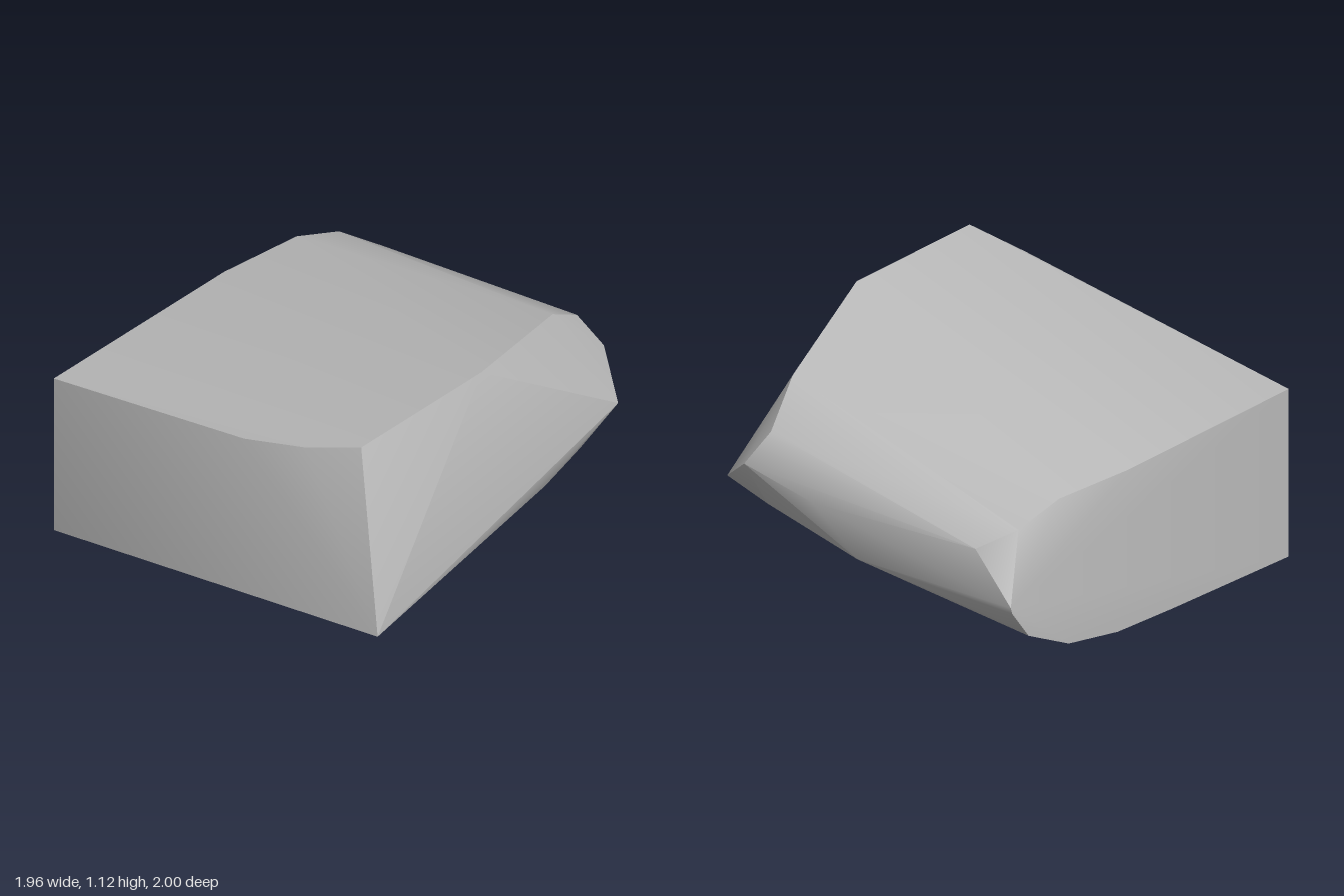
import * as THREE from 'three';
import { ConvexGeometry } from 'three/addons/geometries/ConvexGeometry.js';
import { toCreasedNormals } from 'three/addons/utils/BufferGeometryUtils.js';

// Corner points of the wedge-shaped rock, grouped by region: [x, y, z]
const frontCorners = [
  [-0.98, 0, 0.88], [-0.98, 0.78, 0.88], [0.98, 0.41, 1.0], [0.67, 1.12, 0.76],
  [0.1, 0.96, 0.87], [0.42, 1.04, 0.83],
];
const rightRim = [
  [0.67, 1.12, 0], [0.465, 0.98, -0.68], [0.39, 0.82, -0.92], [0.48, 0.67, -0.99],
  [0.67, 0.52, -0.87], [0.65, 0.39, -0.65], [0.7, 0.36, -0.37],
];
const leftRim = [
  [-0.98, 0.78, -0.2], [-0.935, 0.775, -0.61], [-0.9, 0.7, -0.84], [-0.98, 0.41, -0.99],
  [-0.98, 0.38, -0.98], [-0.98, 0.24, -0.87], [-0.98, 0.11, -0.6],
  [-0.98, 0.05, -0.27], [-0.98, 0.03, 0.1],
];
const back = [
  [-0.77, 0.62, -0.97], [0.1, 0.6, -1.0], [-0.14, 0.4, -0.99],
  [-0.89, 0.32, -0.96], [0.41, 0.48, -0.92],
];
const underside = [
  [-0.6, 0.05, 0.4], [-0.24, 0.11, 0.4], [0.1, 0.175, 0.4], [0.42, 0.25, 0.4],
  [-0.4, 0.11, -0.3], [0.2, 0.22, -0.3], [0, 0.25, -0.7],
];

export function createModel() {
  const group = new THREE.Group();
  group.name = 'rock';
  const stoneGrey = new THREE.MeshStandardMaterial({ color: 0xbababa });
  stoneGrey.name = 'stone grey';

  // Wrap the corners in a skin, smooth over shallow bends and sharp at the rims
  const points = [frontCorners, rightRim, leftRim, back, underside]
    .flat().map((p) => new THREE.Vector3(...p));
  const geometry = toCreasedNormals(new ConvexGeometry(points), THREE.MathUtils.degToRad(35));
  const body = new THREE.Mesh(geometry, stoneGrey);
  body.name = 'rockBody';
  group.add(body);
  return group;
}
